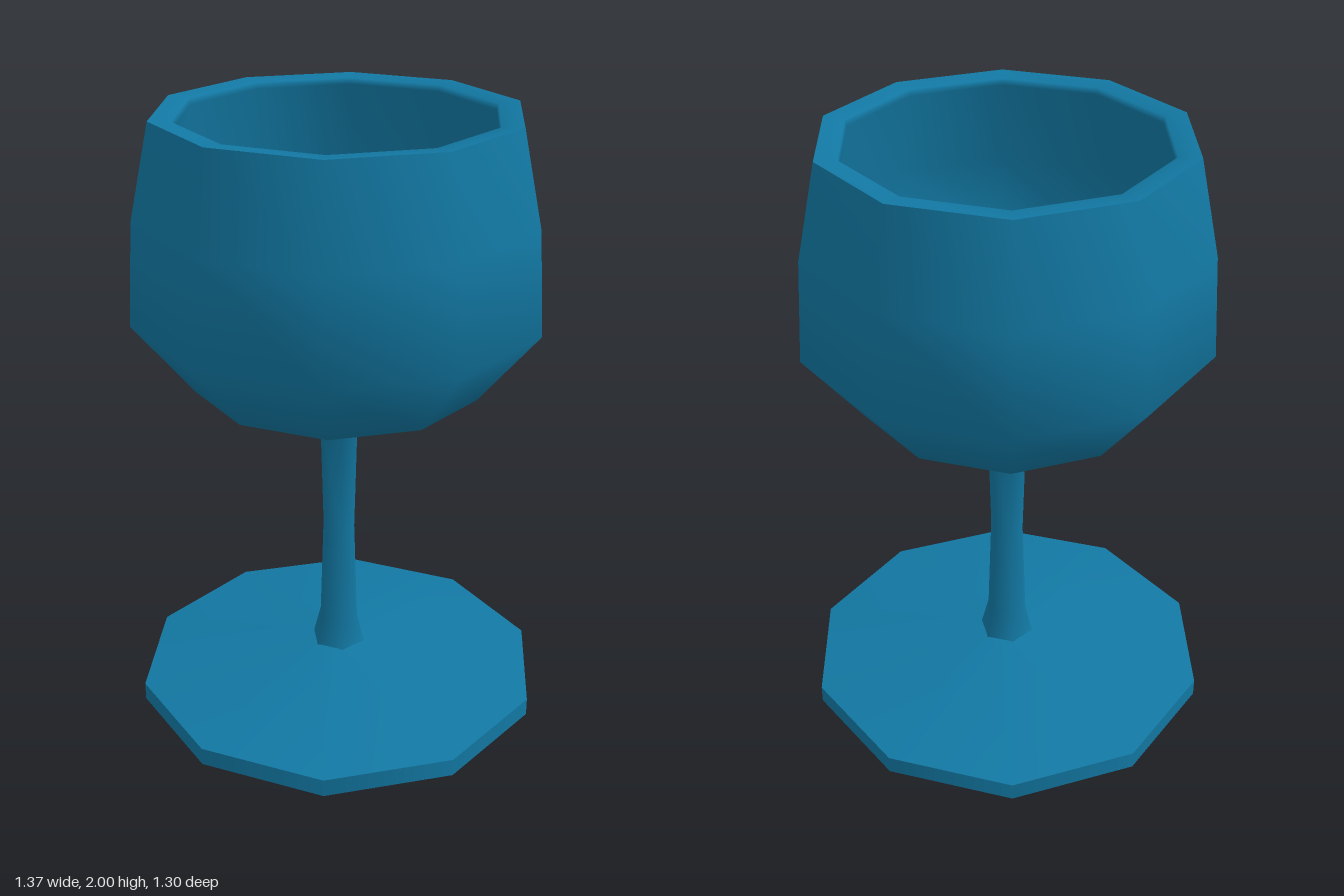
import * as THREE from 'three';

const material = new THREE.MeshStandardMaterial({ color: 0x1278a3, side: THREE.DoubleSide });

// One turned surface with a corner on the x axis; smooth within, sharp against its neighbours.
function turned(name, sides, profile) {
  const points = profile.map(([r, y]) => new THREE.Vector2(r, y));
  const mesh = new THREE.Mesh(new THREE.LatheGeometry(points, sides, Math.PI / 2), material);
  mesh.name = name;
  return mesh;
}

function part(name, ...meshes) {
  const group = new THREE.Group();
  group.name = name;
  group.add(...meshes);
  return group;
}

export function createModel() {
  const model = new THREE.Group();
  model.name = 'goblet';

  // Ten-sided foot: flat underside, thin edge and a shallow cone
  model.add(part('foot',
    turned('footUnderside', 10, [[0, 0], [0.686, 0]]),
    turned('footEdge', 10, [[0.686, 0], [0.686, 0.06]]),
    turned('footTop', 10, [[0.686, 0.06], [0.09, 0.15], [0, 0.155]])
  ));

  // Six-sided stem, flared at both ends
  model.add(turned('stem', 6, [
    [0.095, 0.145], [0.068, 0.25], [0.056, 0.6], [0.065, 0.95], [0.16, 1.075],
  ]));

  // Ten-sided bowl: outer wall, then the rim running into the hollow
  model.add(part('bowl',
    turned('bowlOutside', 10, [
      [0, 1.06], [0.14, 1.065], [0.465, 1.13], [0.66, 1.37], [0.64, 1.7], [0.575, 2],
    ]),
    turned('bowlInside', 10, [
      [0.575, 2], [0.505, 1.995], [0.5, 1.975], [0.56, 1.7], [0.58, 1.4], [0.41, 1.19], [0, 1.12],
    ])
  ));

  return model;
}
